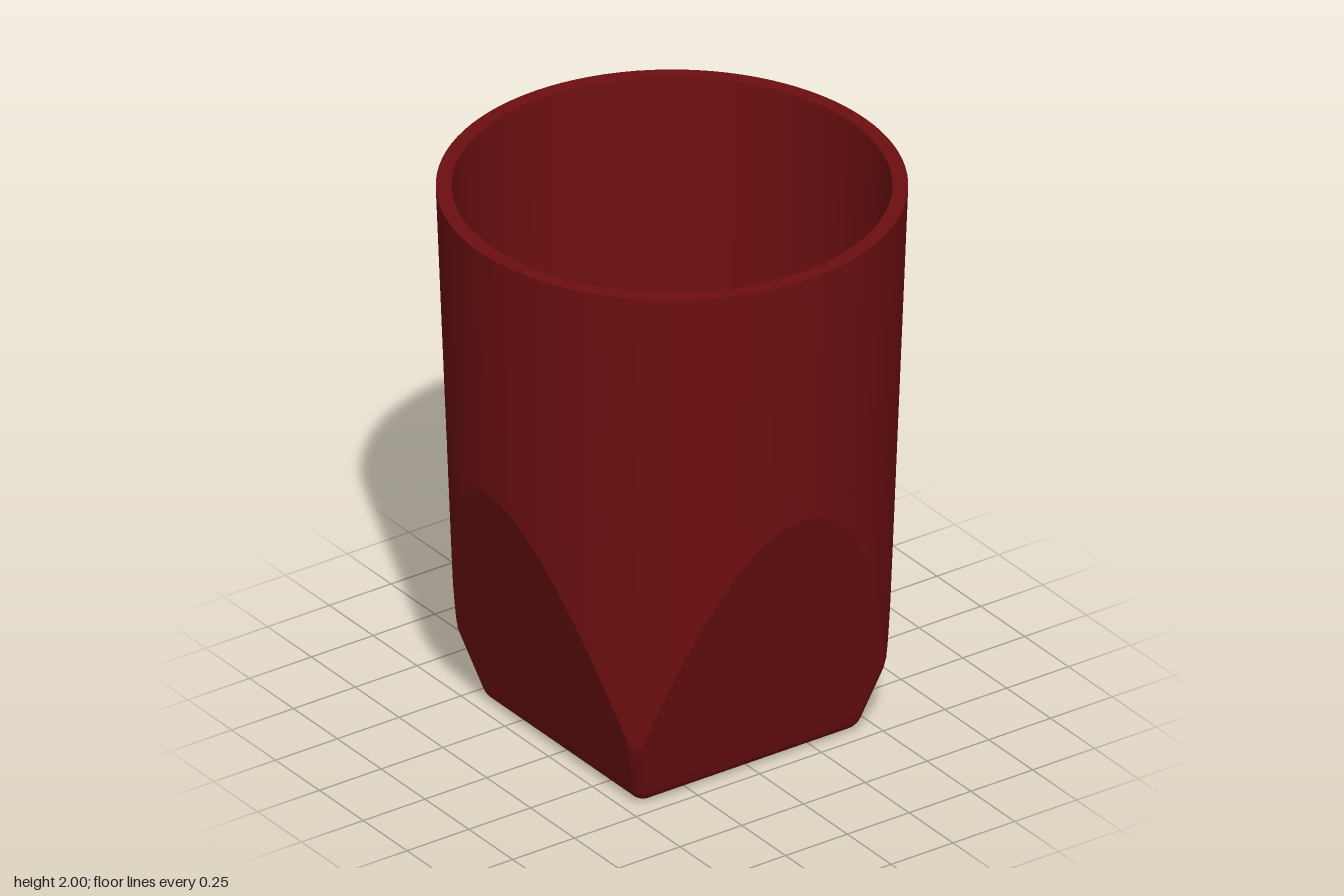
import * as THREE from 'three';
import { mergeGeometries, mergeVertices } from 'three/addons/utils/BufferGeometryUtils.js';

const CUT_TOP = 1.07; // height where the flat facets fade into the round wall
const EDGE = 0.045;   // rounding of the base and its corners
const coneRadius = (y) => 0.78 - 0.0376 * (2 - y);

// Half-width of the facets, half their breadth, and corner radius at height y
function section(y) {
  const R = coneRadius(y);
  const k = Math.max(0, EDGE - y);
  const inset = EDGE - Math.sqrt(EDGE * EDGE - k * k);
  const d = Math.min(R, coneRadius(CUT_TOP) - 0.2785 * (CUT_TOP - y) - inset);
  const corner = EDGE - inset;
  const chord = Math.sqrt(Math.max(0, R * R - d * d));
  const round = chord < d - corner;
  return { R, d, corner, round, w: round ? chord : d - corner };
}

// Grid surface: one row per height, columns t = 0..1 running to the right
function grid(heights, cols, point) {
  const pos = [], index = [];
  heights.forEach((y, i) => {
    for (let j = 0; j <= cols; j++) {
      pos.push(...point(y, j / cols));
      if (i && j) {
        const b = i * (cols + 1) + j, a = b - cols - 1;
        index.push(a - 1, a, b, a - 1, b, b - 1);
      }
    }
  });
  const g = new THREE.BufferGeometry();
  g.setAttribute('position', new THREE.Float32BufferAttribute(pos, 3));
  g.setIndex(index);
  return g;
}

function facetPoint(y, t) {
  const { d, w } = section(y);
  return [(2 * t - 1) * w, y, d];
}

// Wall between two neighbouring facets: cone arc above, rounded corner below
function wallPoint(y, t) {
  const { R, d, w, corner, round } = section(y);
  if (round) {
    const a0 = Math.atan2(w, d);
    const a = a0 + t * (Math.PI / 2 - 2 * a0);
    return [R * Math.sin(a), y, R * Math.cos(a)];
  }
  const a = t * Math.PI / 2;
  const x = w + corner * Math.sin(a), z = w + corner * Math.cos(a);
  const s = Math.min(1, R / Math.hypot(x, z));
  return [x * s, y, z * s];
}

export function createModel() {
  const group = new THREE.Group();
  group.name = 'tumbler';
  const material = new THREE.MeshStandardMaterial({ color: 0x6e0f10 });
  const add = (name, geometry) => {
    const mesh = new THREE.Mesh(geometry, material);
    mesh.name = name;
    group.add(mesh);
    return mesh;
  };

  // Heights: fine in the base rounding, then closing in on the top of the facets
  const heights = [];
  for (let i = 0; i <= 8; i++) heights.push(EDGE * (1 - Math.cos(i / 8 * Math.PI / 2)));
  for (let i = 1; i <= 60; i++) heights.push(EDGE + (CUT_TOP - EDGE) * (1 - (1 - i / 60) ** 2));

  // Four flat facets
  const facet = grid(heights, 8, facetPoint);
  facet.computeVertexNormals();
  for (let i = 0; i < 4; i++) add('facet' + (i + 1), facet).rotation.y = i * Math.PI / 2;

  // Round outer wall, joined smoothly from four quarters
  const quarters = [];
  for (let i = 0; i < 4; i++) {
    quarters.push(grid([...heights, 1.3, 1.6, 2], 24, wallPoint).rotateY(i * Math.PI / 2));
  }
  const wall = mergeVertices(mergeGeometries(quarters), 1e-5);
  wall.computeVertexNormals();
  add('outerWall', wall);

  // Square base
  const side = 2 * section(0).d;
  add('base', new THREE.PlaneGeometry(side, side).rotateX(Math.PI / 2));

  // Flat rim
  const rim = add('rim', new THREE.RingGeometry(0.728, 0.78, 96).rotateX(-Math.PI / 2));
  rim.position.y = 2;

  // Round interior: floor, soft curve, sloping wall, near-straight upper wall
  const inner = new THREE.Path();
  inner.moveTo(0, 0.08);
  inner.lineTo(0.37, 0.08);
  inner.quadraticCurveTo(0.425, 0.08, 0.445, 0.16);
  inner.lineTo(0.68, 1.04);
  inner.quadraticCurveTo(0.69, 1.08, 0.692, 1.12);
  inner.lineTo(0.728, 2);
  const lining = new THREE.LatheGeometry(inner.getPoints(8).reverse(), 96);
  add('interior', lining);

  return group;
}
